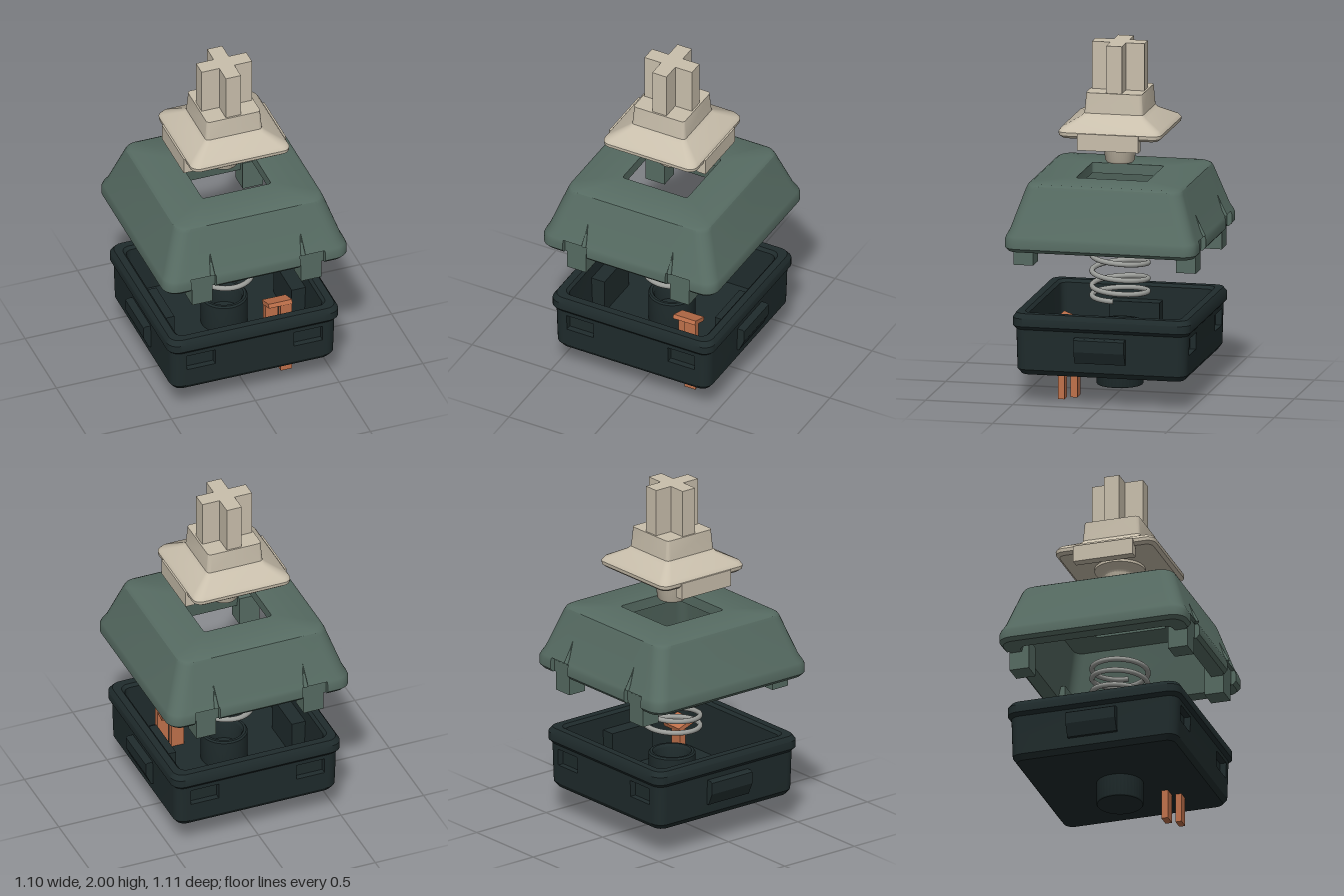
import * as THREE from 'three';
import { toCreasedNormals } from 'three/addons/utils/BufferGeometryUtils.js';

const mat = (name, color) => new THREE.MeshStandardMaterial({ name, color });

// Rounded square outline; the front and back edges can carry two notches each
// (x from n0 to n1, mirrored) of depth n.
function ring([h, y, r, n = 0], n0, n1) {
  const half = [], c = h - r, steps = 6;
  const corner = (start, sx) => {
    for (let i = 0; i <= steps; i++) {
      const a = start + (i / steps) * Math.PI / 2;
      half.push([sx * c + r * Math.cos(a), -c - r * Math.sin(a)]);
    }
  };
  const a = Math.min(n0, c), b = Math.min(n1, c);
  corner(0, 1);
  half.push([b, -h], [b, n - h], [a, n - h], [a, -h]);
  half.push([-a, -h], [-a, n - h], [-b, n - h], [-b, -h]);
  corner(Math.PI / 2, -1);
  return [...half, ...half.map(([x, z]) => [-x, -z])].map(([x, z]) => [x, y, z]);
}

// Skin over a stack of rings [half size, y, corner radius, notch depth]
function loft(sections, n0 = 0, n1 = 0, crease = 0.6) {
  const rings = sections.map(s => ring(s, n0, n1));
  const count = rings[0].length, index = [];
  for (let i = 0; i < rings.length - 1; i++) {
    for (let j = 0; j < count; j++) {
      const k = (j + 1) % count;
      const a = i * count + j, b = i * count + k;
      index.push(a, b, b + count, a, b + count, a + count);
    }
  }
  const g = new THREE.BufferGeometry();
  g.setAttribute('position', new THREE.Float32BufferAttribute(rings.flat(2), 3));
  g.setIndex(index);
  return toCreasedNormals(g, crease);
}

const lathe = pts => toCreasedNormals(
  new THREE.LatheGeometry(pts.map(p => new THREE.Vector2(...p)), 40), 0.6);

// Box given by its limits on each axis
function box(x0, x1, y0, y1, z0, z1) {
  return new THREE.BoxGeometry(x1 - x0, y1 - y0, z1 - z0)
    .translate((x0 + x1) / 2, (y0 + y1) / 2, (z0 + z1) / 2);
}

function add(parent, name, geometry, material) {
  const mesh = new THREE.Mesh(geometry, material);
  mesh.name = name;
  parent.add(mesh);
  return mesh;
}

function group(parent, name) {
  const g = new THREE.Group();
  g.name = name;
  parent.add(g);
  return g;
}

export function createModel() {
  const model = new THREE.Group();
  model.name = 'keySwitch';
  const cream = mat('cream plastic', 0xc9bfac);
  const green = mat('grey green plastic', 0x566b62);
  const dark = mat('dark plastic', 0x1f2b2c);
  const copper = mat('copper', 0xc0714b);
  const steel = mat('spring steel', 0x9b9d99);
  const tip = 0.002;

  // Stem: flared skirt and block
  const stem = group(model, 'stem');
  add(stem, 'stemSkirt', loft([
    [tip, 1.49, 0.001], [0.275, 1.49, 0.04], [0.293, 1.505, 0.05], [0.295, 1.525, 0.05],
    [0.282, 1.545, 0.05], [0.185, 1.597, 0.03], [0.169, 1.615, 0.022],
    [0.16, 1.73, 0.02], [tip, 1.73, 0.001],
  ]), cream);

  // Cross-shaped post
  const a = 0.15, w = 0.045;
  const cross = new THREE.Shape([
    [a, -w], [a, w], [w, w], [w, a], [-w, a], [-w, w],
    [-a, w], [-a, -w], [-w, -w], [-w, -a], [w, -a], [w, -w],
  ].map(p => new THREE.Vector2(...p)));
  add(stem, 'stemCross', new THREE.ExtrudeGeometry(cross, { depth: 0.28, bevelEnabled: false })
    .rotateX(-Math.PI / 2).translate(0, 1.72, 0), cream);

  // Plunger under the skirt
  add(stem, 'stemPlunger', lathe([
    [0, 1.31], [0.074, 1.31], [0.083, 1.322], [0.095, 1.435], [0.105, 1.447],
    [0.143, 1.475], [0.143, 1.5],
  ]), cream);
  for (const s of [-1, 1]) {
    add(stem, 'stemSideTab', box(-0.0275, 0.0275, 1.43, 1.525, -0.175, 0.175), cream).position.x = s * 0.278;
  }

  // Upper housing: hollow sloped cover with an opening and notched rim
  const cover = group(model, 'upperHousing');
  add(cover, 'cover', loft([
    [0.45, 0.88, 0.05], [0.532, 0.88, 0.07, 0.012], [0.55, 0.9, 0.08, 0.028],
    [0.55, 0.945, 0.08, 0.028], [0.543, 0.965, 0.08, 0.021], [0.543, 0.965, 0.08],
    [0.525, 1.0, 0.08], [0.45, 1.222, 0.075], [0.442, 1.24, 0.075], [0.425, 1.25, 0.07],
    [0.205, 1.25, 0.015], [0.205, 1.19, 0.015], [0.385, 1.19, 0.05], [0.45, 0.88, 0.05],
  ], 0.25, 0.4), green);
  for (const turn of [0, Math.PI]) {
    const side = group(cover, 'coverSide');
    side.rotation.y = turn;
    for (const s of [-1, 1]) {
      const leg = add(side, 'coverLeg', box(-0.06, 0.06, 0.775, 0.95, 0.41, 0.523), green);
      leg.position.x = s * 0.325;
      // Tapered rib on the slope above each leg
      const rib = add(side, 'coverRib', new THREE.ConeGeometry(0.015, 0.15, 8), green);
      rib.position.set(s * 0.27, 1.035, 0.514);
      rib.rotation.x = -0.36;
    }
  }

  // Coil spring with closed ends
  const coil = [], turns = 5, samples = 150;
  for (let i = 0; i <= samples; i++) {
    const t = i / samples, ease = t * t * (3 - 2 * t), ang = t * turns * Math.PI * 2;
    coil.push(new THREE.Vector3(0.157 * Math.cos(ang),
      0.54 + 0.345 * (0.3 * t + 0.7 * ease), 0.157 * Math.sin(ang)));
  }
  add(model, 'spring', new THREE.TubeGeometry(new THREE.CatmullRomCurve3(coil), 300, 0.015, 10), steel);

  // Lower housing: open tray with recesses in the front and back
  const base = group(model, 'lowerHousing');
  add(base, 'tray', loft([
    [tip, 0.17, 0.001], [0.465, 0.17, 0.05], [0.487, 0.2, 0.06], [0.49, 0.31, 0.06],
    [0.49, 0.31, 0.06, 0.035], [0.492, 0.405, 0.06, 0.037], [0.492, 0.405, 0.06],
    [0.493, 0.43, 0.06], [0.51, 0.45, 0.065], [0.51, 0.495, 0.065], [0.492, 0.522, 0.06],
    [0.45, 0.522, 0.05], [0.435, 0.505, 0.045], [0.425, 0.22, 0.04], [tip, 0.22, 0.001],
  ], 0.235, 0.405), dark);

  // Round centre post, a cup at the top
  add(base, 'centrePost', lathe([
    [0, 0.04], [0.128, 0.04], [0.132, 0.046], [0.132, 0.39], [0.124, 0.4],
    [0.11, 0.4], [0.1, 0.385], [0.1, 0.27], [0, 0.27],
  ]), dark);

  // Wedge clips outside and guide blocks inside, on both sides
  const wedge = new THREE.Shape([
    [0.47, 0.25], [0.502, 0.255], [0.534, 0.325], [0.534, 0.392], [0.522, 0.4], [0.47, 0.4],
  ].map(p => new THREE.Vector2(...p)));
  for (const turn of [0, Math.PI]) {
    const side = group(base, 'traySide');
    side.rotation.y = turn;
    add(side, 'sideClip', new THREE.ExtrudeGeometry(wedge, { depth: 0.29, bevelEnabled: false })
      .translate(0, 0, -0.145), dark);
    add(side, 'guideBlock', box(0.35, 0.44, 0.21, 0.43, -0.145, 0.145), dark);
  }

  // Copper contacts: two pins with bent leaves on top
  const contacts = group(model, 'contacts');
  add(contacts, 'frontPin', box(0.232, 0.3, 0, 0.46, 0.25, 0.285), copper);
  add(contacts, 'rearPin', box(0.162, 0.238, 0, 0.42, 0.19, 0.228), copper);
  const leaf = add(contacts, 'contactLeaf', new THREE.BoxGeometry(0.14, 0.025, 0.11), copper);
  leaf.position.set(0.23, 0.445, 0.235);
  leaf.rotation.x = -0.35;

  return model;
}
